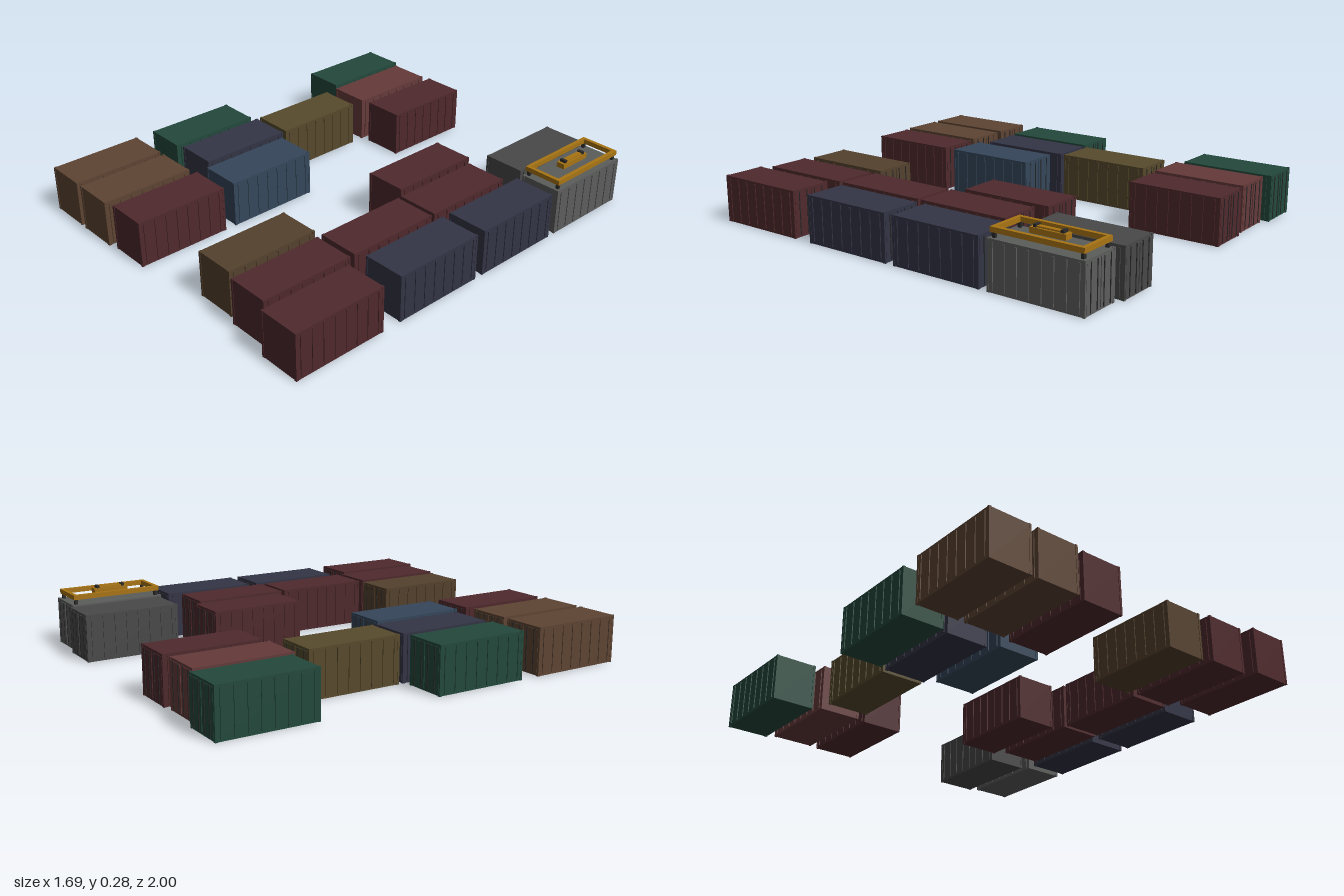
import * as THREE from 'three';

const W = 0.198, H = 0.217, L = 0.44;

const material = (color) => new THREE.MeshStandardMaterial({ color, flatShading: true });

function box(parent, name, mat, size, pos) {
  const mesh = new THREE.Mesh(new THREE.BoxGeometry(...size), mat);
  mesh.name = name;
  mesh.position.set(...pos);
  parent.add(mesh);
  return mesh;
}

// One container, standing on y = 0, doors towards -z
function createContainer(color, dark) {
  const group = new THREE.Group();
  group.name = 'container';
  const paint = material(color);
  box(group, 'body', paint, [W, H - 0.002, L], [0, H / 2, 0]);

  for (const s of [-1, 1]) {
    // Vertical ribs on the long sides
    for (let i = 0; i < 8; i++) {
      const z = -L / 2 + 0.024 + i * (L - 0.048) / 7;
      box(group, 'sideRib', paint, [0.004, H - 0.022, 0.008], [s * (W / 2 + 0.002), H / 2, z]);
    }
    // Door leaves and their locking bars
    box(group, 'door', paint, [W / 2 - 0.012, H - 0.024, 0.003], [s * (W / 4 - 0.002), H / 2, -L / 2 - 0.0015]);
    for (const x of [0.022, 0.066]) {
      box(group, 'lockingBar', dark, [0.004, H - 0.02, 0.003], [s * x, H / 2, -L / 2 - 0.004]);
    }
    // Corner posts and castings at both ends
    for (const e of [-1, 1]) {
      box(group, 'cornerPost', paint, [0.01, H - 0.02, 0.01], [s * (W / 2 - 0.004), H / 2, e * (L / 2 - 0.003)]);
      for (const y of [0.005, H - 0.005]) {
        box(group, 'cornerCasting', paint, [0.012, 0.01, 0.012], [s * (W / 2 - 0.005), y, e * (L / 2 - 0.004)]);
      }
    }
  }
  return group;
}

// Lifting frame that sits on top of a container
function createSpreader(gold, dark) {
  const group = new THREE.Group();
  group.name = 'liftingFrame';
  const hw = 0.084, hl = 0.203, y = 0.25;
  for (const s of [-1, 1]) {
    box(group, 'longBeam', gold, [0.018, 0.022, hl * 2 + 0.018], [s * hw, y, 0]);
    box(group, 'endBeam', gold, [hw * 2 - 0.018, 0.022, 0.018], [0, y, s * hl]);
    for (const e of [-1, 1]) {
      box(group, 'twistLockLeg', dark, [0.014, 0.024, 0.014], [s * (hw - 0.004), 0.227, e * (hl - 0.004)]);
    }
    box(group, 'hoistLug', dark, [0.03, 0.018, 0.014], [0, 0.269, s * 0.062]);
  }
  box(group, 'headBlock', gold, [0.04, 0.024, 0.165], [0, y + 0.004, 0]);
  box(group, 'headBlockRidge', gold, [0.022, 0.006, 0.11], [0, y + 0.019, 0]);
  return group;
}

export function createModel() {
  const model = new THREE.Group();
  model.name = 'containerYard';
  const dark = material(0x2a2a2a);
  const gold = material(0xa87414);
  const red = 0x4f292c, navy = 0x333445, green = 0x24493c, brown = 0x5d4433;

  // x centre, z centre, colour
  const yard = [
    [-0.74, -0.775, green], [-0.51, -0.747, 0x653a3a], [-0.27, -0.758, red],
    [0.51, -0.77, 0x494949], [0.74, -0.747, 0x5b5d5b],
    [-0.51, -0.24, 0x574a2c], [0.265, -0.252, red], [0.505, -0.21, red], [0.74, -0.264, navy],
    [-0.74, 0.236, green], [-0.51, 0.222, navy], [-0.27, 0.26, 0x35475a],
    [0.505, 0.25, red], [0.74, 0.222, navy],
    [-0.74, 0.773, brown], [-0.51, 0.773, brown], [-0.27, 0.758, red],
    [0.265, 0.694, 0x54412d], [0.505, 0.716, red], [0.74, 0.758, red],
  ];
  for (const [x, z, color] of yard) {
    const container = createContainer(color, dark);
    container.position.set(x, 0, z);
    model.add(container);
  }

  const spreader = createSpreader(gold, dark);
  spreader.position.set(0.739, 0, -0.747);
  model.add(spreader);
  return model;
}
